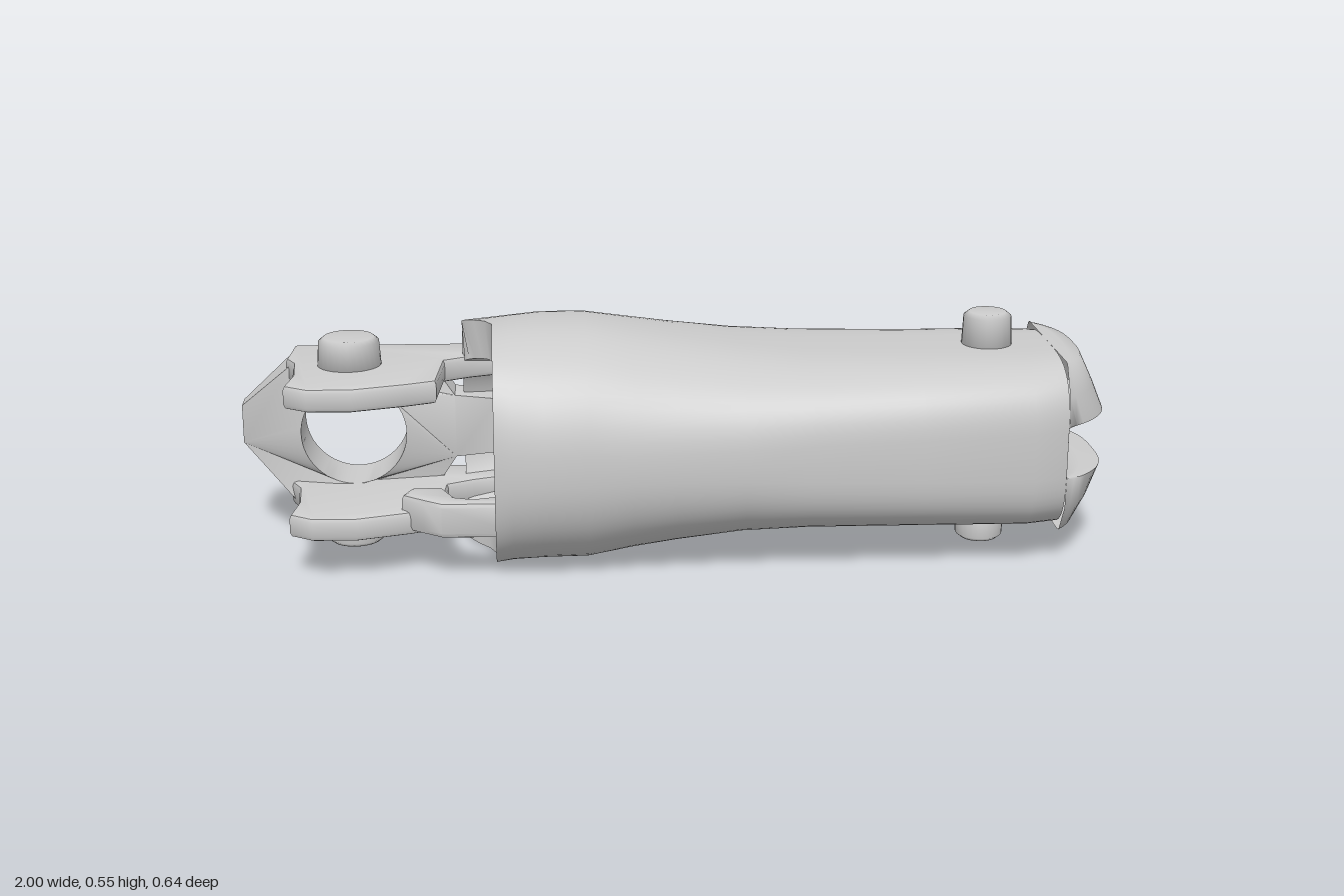
import * as THREE from 'three';
import { toCreasedNormals } from 'three/addons/utils/BufferGeometryUtils.js';

const CY = 0.278; // height of the long axis
const grey = new THREE.MeshStandardMaterial({ color: 0xcccccc, side: THREE.DoubleSide });
const dark = new THREE.MeshStandardMaterial({ color: 0x606060, side: THREE.DoubleSide });

// Body sections: x, half height, back z, front z, roundness exponent
const stations = [
  [-0.48, 0.276, -0.17, 0.295, 2.4], [-0.37, 0.276, -0.245, 0.31, 2.3],
  [-0.3, 0.276, -0.29, 0.316, 2.3], [-0.2, 0.276, -0.287, 0.312, 2.3],
  [-0.1, 0.258, -0.305, 0.309, 2.3], [0, 0.24, -0.313, 0.306, 2.4],
  [0.15, 0.217, -0.319, 0.303, 2.6], [0.3, 0.203, -0.308, 0.3, 3],
  [0.55, 0.2, -0.27, 0.295, 3.3], [0.8, 0.2, -0.25, 0.29, 3.6], [0.88, 0.2, -0.22, 0.262, 3.6],
];

// Point on a rounded section at angle t (0 = top, PI / 2 = front)
function sectionPoint([x, h, zb, zf, n], t, s = 1) {
  const pow = (v) => Math.sign(v) * Math.abs(v) ** (2 / n);
  return new THREE.Vector3(x, CY + s * h * pow(Math.cos(t)),
    (zf + zb) / 2 + (s * (zf - zb) / 2) * pow(Math.sin(t)));
}

const ring = (st, s) => Array.from({ length: 64 }, (_, j) => sectionPoint(st, (j / 64) * Math.PI * 2, s));

function stationAt(x) {
  const i = Math.max(1, stations.findIndex((s) => s[0] >= x));
  const a = stations[i - 1], b = stations[i], k = (x - a[0]) / (b[0] - a[0]);
  return a.map((v, j) => v + (b[j] - v) * k);
}

// Row collapsed into the centre of another, closing an end
function capRow(row) {
  const c = new THREE.Vector3();
  row.forEach((p) => c.addScaledVector(p, 1 / row.length));
  return row.map(() => c);
}

// Skin over rows of points
function skin(rows, closed = true, crease = 0.6) {
  const m = rows[0].length, index = [];
  for (let i = 0; i < rows.length - 1; i++) {
    for (let j = 0; j < (closed ? m : m - 1); j++) {
      const a = i * m + j, b = i * m + ((j + 1) % m);
      index.push(a, b, a + m, b, b + m, a + m);
    }
  }
  const g = new THREE.BufferGeometry().setFromPoints(rows.flat());
  g.setIndex(index);
  return toCreasedNormals(g, crease);
}

// Extruded outline with softened edges, laid flat: points are (x, -z), depth goes up
function slab(points, bottom, height, bevel = 0.012) {
  const shape = new THREE.Shape(points.map(([x, y]) => new THREE.Vector2(x, y)));
  const g = new THREE.ExtrudeGeometry(shape, {
    depth: height - 2 * bevel, bevelSize: bevel, bevelThickness: bevel,
    bevelOffset: -bevel, bevelSegments: 2,
  });
  g.translate(0, 0, bevel).rotateX(-Math.PI / 2).translate(0, bottom, 0);
  return toCreasedNormals(g, 0.7);
}

export function createModel() {
  const model = new THREE.Group();
  const add = (name, geometry, material = grey) => {
    const mesh = new THREE.Mesh(geometry, material);
    mesh.name = name;
    model.add(mesh);
    return mesh;
  };

  // Body with a socket in its open end, which is cut further back at the front
  const cut = (p) => {
    p.x += 0.07 * THREE.MathUtils.smoothstep(p.z, -0.04, 0.06);
    return p;
  };
  const first = stations[0];
  const inner = ring(stationAt(-0.34), 0.62);
  const end = ring(stations[stations.length - 1]);
  add('body', skin([
    capRow(inner), inner, ring(first, 0.68).map(cut), ring(first).map(cut),
    ...stations.slice(1).map((s) => ring(s)), capRow(end),
  ]));

  // Nose: rows of a bulging plan curve (reach, height, width), with a slot between two lips
  const lip = [
    [0, 0.2, 0.74], [0.25, 0.2, 0.76], [0.5, 0.197, 0.8], [0.76, 0.13, 0.98], [1, 0.063, 1],
    [0.55, 0.06, 1], [0.08, 0.06, 1], [0.01, 0.05, 1],
  ];
  const noseProfile = [...lip, ...lip.map(([k, y, w]) => [k, -y, w]).reverse()];
  const noseRows = noseProfile.map(([k, y, w]) => Array.from({ length: 33 }, (_, j) => {
    const u = j / 16 - 1;
    return new THREE.Vector3(0.88 + 0.12 * k * (1 - Math.abs(u) ** 3), CY + y, 0.021 + 0.241 * w * u);
  }));
  add('slottedNose', skin(noseRows, false, 1.4));

  // Dark panel wrapped on the back of the body
  const panelRows = [];
  for (let i = 0; i <= 12; i++) {
    const st = stationAt(0.03 + (0.33 * i) / 12);
    panelRows.push(Array.from({ length: 21 }, (_, j) =>
      sectionPoint(st, Math.PI * 1.5 + 0.71 * (j / 10 - 1), 1.007)));
  }
  add('backPanel', skin(panelRows, false), dark);

  // Hinge pins on the body and on the fork, above and below
  const pin = (name, x, r, inside, outside) => {
    for (const side of [1, -1]) {
      const h = outside - inside;
      const profile = [[0, 0], [r * 1.08, 0], [r, h - 0.01], [r - 0.012, h], [0, h]];
      const g = new THREE.LatheGeometry(profile.map(([a, b]) => new THREE.Vector2(a, b)), 28);
      const mesh = add(name, g);
      mesh.position.set(x, CY + side * inside, 0.024);
      if (side < 0) mesh.rotation.x = Math.PI;
    }
  };
  pin('bodyPin', 0.735, 0.055, 0.17, 0.276);
  pin('forkPin', -0.735, 0.069, 0.15, 0.244);

  // Fork back wall with a round opening, thinning towards both ends
  const half = [[-1, 0.045], [-0.87, 0.168], [-0.56, 0.17], [-0.53, 0.12], [-0.5, 0.075], [-0.4, 0.065]];
  const outline = [...half, ...half.map(([x, y]) => [x, -y]).reverse()];
  const wallShape = new THREE.Shape(outline.map(([x, y]) => new THREE.Vector2(x, y)));
  wallShape.holes.push(new THREE.Path().absarc(-0.735, 0, 0.122, 0, Math.PI * 2, true));
  const wall = new THREE.ExtrudeGeometry(wallShape, { depth: 1, bevelEnabled: false, curveSegments: 32 });
  const pos = wall.attributes.position;
  for (let i = 0; i < pos.count; i++) {
    const x = pos.getX(i);
    const depth = x < -0.95 ? 0.055 : x > -0.54 ? 0.09 : 0.14;
    pos.setZ(i, pos.getZ(i) * depth - 0.165 + 0.035 * (x + 1));
  }
  add('forkBackWall', toCreasedNormals(wall, 0.6)).position.y = CY;

  // Fork plates
  const plate = [
    [-0.875, 0.158], [-0.885, 0.04], [-0.865, 0], [-0.858, -0.1], [-0.872, -0.19], [-0.82, -0.225],
    [-0.72, -0.23], [-0.6, -0.195], [-0.535, -0.17], [-0.52, 0], [-0.46, 0.03], [-0.4, 0.05],
    [-0.4, 0.143],
  ];
  add('upperForkPlate', slab(plate, CY + 0.122, 0.057));
  add('lowerForkPlate', slab(plate, CY - 0.179, 0.057));

  // Bent arm tying the lower plate to the front of the body
  const arm = [
    [-0.62, -0.18], [-0.57, -0.22], [-0.53, -0.25], [-0.36, -0.257], [-0.36, -0.19],
    [-0.42, -0.205], [-0.46, -0.215], [-0.5, -0.2], [-0.53, -0.13], [-0.6, -0.13],
  ];
  add('frontArm', slab(arm, CY - 0.17, 0.085));
  return model;
}
